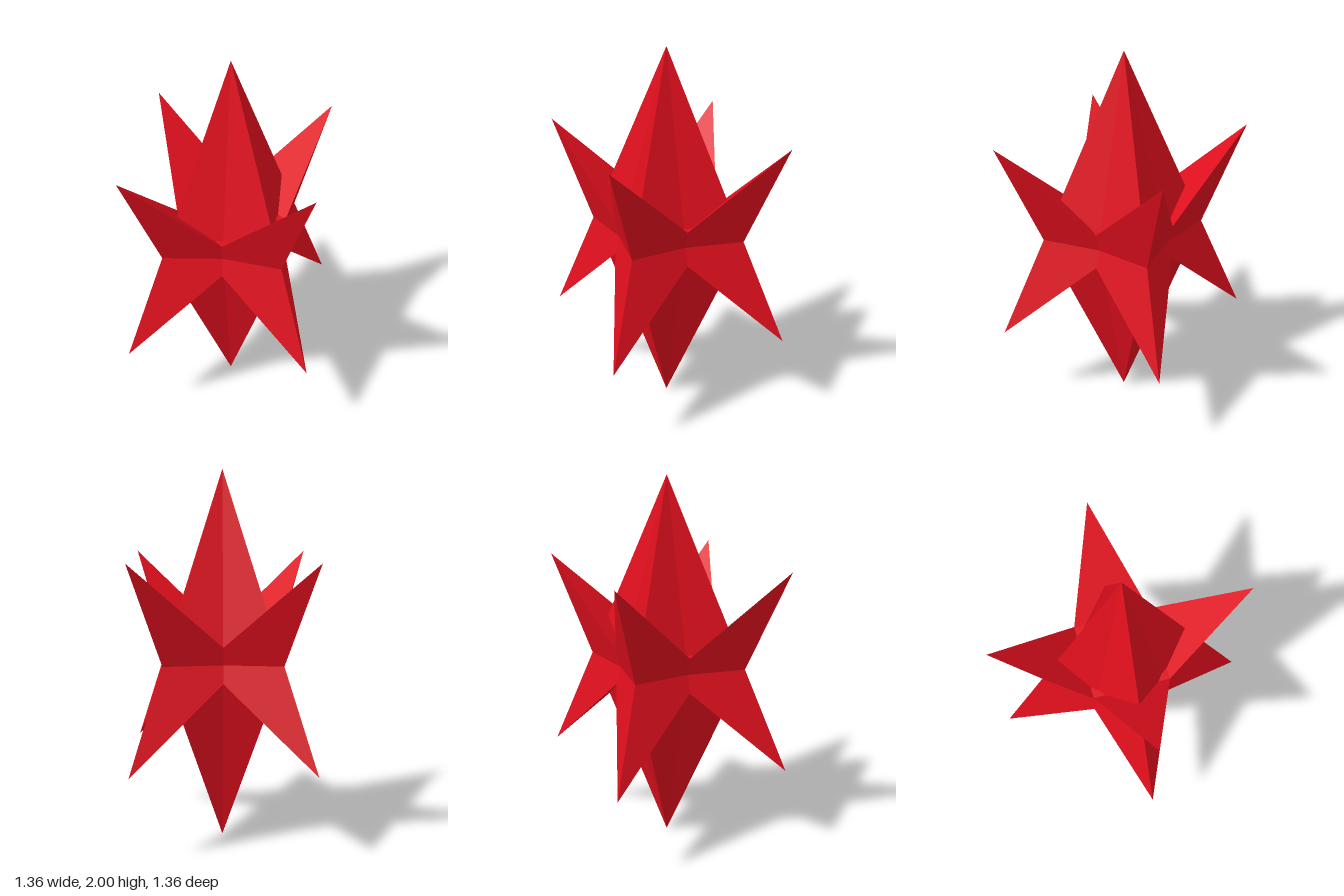
import * as THREE from 'three';

const HEIGHT = 2;                       // height of the whole star
const TIP = { r: 0.68, y: 1.541 };      // points of the crown
const NOTCH = { r: 0.294, y: 1.095 };   // valleys between the points

// Four-pointed concave pyramid standing on its apex, closed by a notched cap
function crownGeometry() {
  const apex = new THREE.Vector3(0, 0, 0);
  const rim = [];
  for (let i = 0; i < 8; i++) {
    const { r, y } = i % 2 ? NOTCH : TIP;
    const a = (i * Math.PI) / 4;
    rim.push(new THREE.Vector3(r * Math.cos(a), y, r * Math.sin(a)));
  }
  const middle = new THREE.Vector3(0, NOTCH.y, 0);
  const corners = [];
  for (let i = 0; i < 8; i++) {
    // outer wall from the apex to the rim
    corners.push(apex, rim[i], rim[(i + 1) % 8]);
    if (i % 2 === 0) {
      const before = rim[(i + 7) % 8], after = rim[i + 1];
      corners.push(after, rim[i], before);   // sloping top of a point
      corners.push(middle, after, before);   // flat floor between the points
    }
  }
  const geometry = new THREE.BufferGeometry().setFromPoints(corners);
  geometry.computeVertexNormals();
  return geometry;
}

export function createModel() {
  const model = new THREE.Group();
  model.name = 'spikedStar';
  const red = new THREE.MeshStandardMaterial({ color: 0xdd0f1d, flatShading: true });
  const geometry = crownGeometry();

  // Bottom spike with the four upward points
  const upward = new THREE.Mesh(geometry, red);
  upward.name = 'bottomSpikeAndUpperPoints';

  // Top spike with the four downward points
  const downward = new THREE.Mesh(geometry, red);
  downward.name = 'topSpikeAndLowerPoints';
  downward.rotation.x = Math.PI;
  downward.position.y = HEIGHT;

  model.add(upward, downward);
  return model;
}
